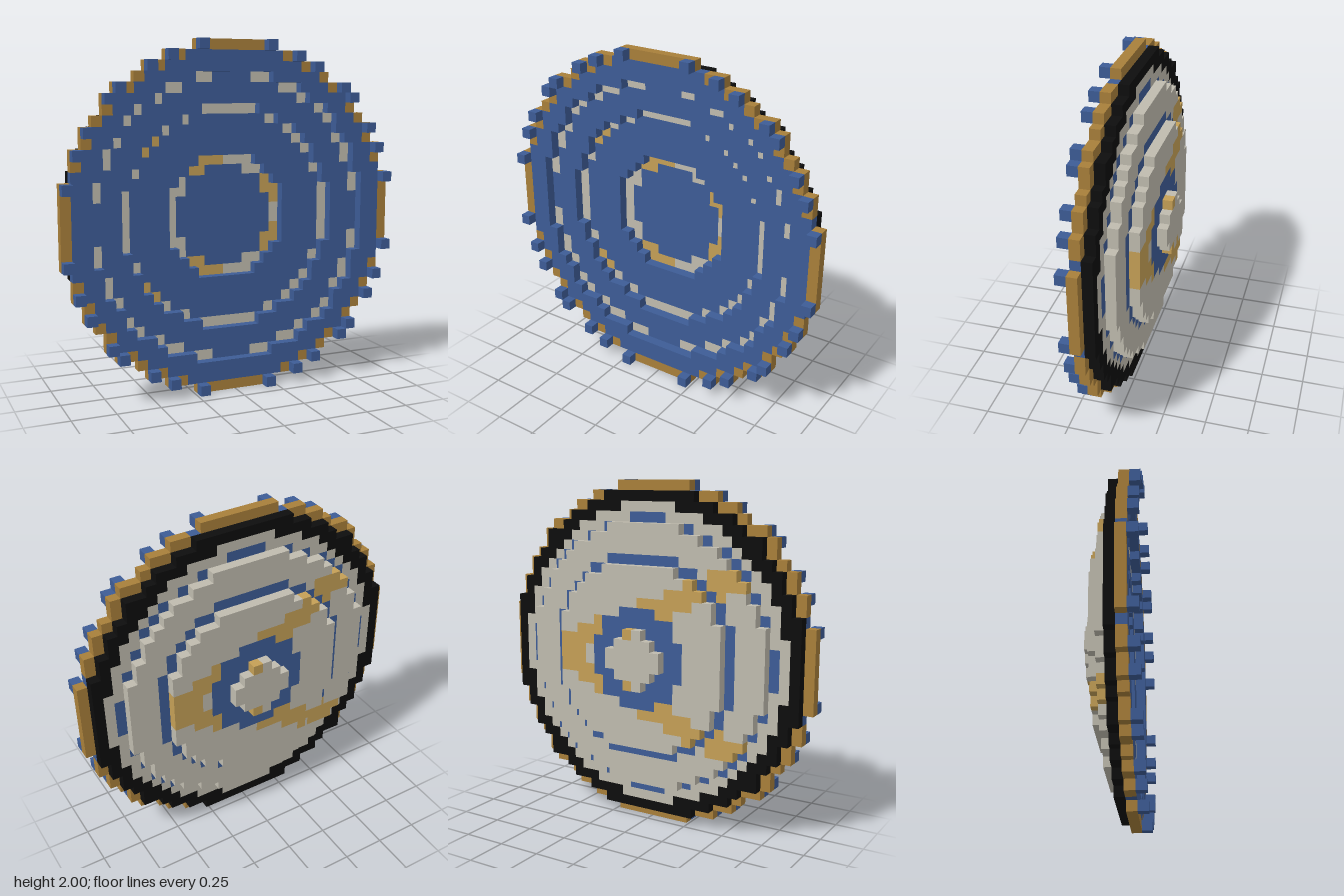
import * as THREE from 'three';
import { mergeGeometries } from 'three/addons/utils/BufferGeometryUtils.js';

const N = 17;          // cells from the centre to the rim
const S = 1 / N;       // cell size

const mat = (name, color) => {
  const m = new THREE.MeshStandardMaterial({ color });
  m.name = name;
  return m;
};

// Slanted stain bands that meet at +x and spread towards -x, on the three rear layers
function stained(x, y, layer) {
  if (layer > 2 || (layer === 2 && x > 0)) return false;
  const d = Math.abs(y) + 0.42 * x;
  return d > (layer === 0 ? 2.65 : 2.85) && d < 5.4;
}

// Blocky ring of one layer: every cell whose centre lies between two radii,
// joined into one box per run of cells along x
function ringGeometry(layer, inner, outer, keep = () => true) {
  const boxes = [];
  for (let j = -N; j < N; j++) {
    const y = j + 0.5;
    let start = null;
    for (let i = -N; i <= N; i++) {
      const x = i + 0.5;
      const r = Math.hypot(x, y);
      const filled = i < N && r >= inner && r < outer && keep(x, y, layer);
      if (filled && start === null) start = i;
      if (!filled && start !== null) {
        const box = new THREE.BoxGeometry((i - start) * S, S, S);
        box.translate((start + i) / 2 * S, y * S + 1, (layer - 2.5) * S);
        boxes.push(box);
        start = null;
      }
    }
  }
  return mergeGeometries(boxes);
}

export function createModel() {
  const blue = mat('blue lining', 0x3d5c96);
  const grey = mat('pale grey shell', 0xbfbbae);
  const tan = mat('tan stain', 0xc49f56);
  const brown = mat('brown rim', 0xa87f3a);
  const black = mat('black band', 0x0d0d0d);

  const clean = (x, y, l) => !stained(x, y, l);

  // name, layer from the back, inner and outer radius in cells, material, filter
  const parts = [
    ['boss', 0, 0, 2.6, grey, clean],
    ['bossStain', 0, 0, 2.6, tan, stained],
    ['centreLining', 1, 0, 5, blue],
    ['innerShell', 1, 5, 9.5, grey, clean],
    ['innerShellStain', 1, 5, 9.5, tan, stained],
    ['innerLining', 2, 6.2, 10.3, blue],
    ['middleShell', 2, 10.3, 13, grey, clean],
    ['middleShellStain', 2, 10.3, 13, tan, stained],
    ['middleLining', 3, 10.9, 13.6, blue],
    ['outerShell', 3, 13.6, 14.8, grey],
    ['blackBand', 3, 14.8, 16.3, black],
    ['outerLining', 4, 14.2, 16.3, blue],
    ['rim', 4, 16.3, 17, brown],
    ['rimStuds', 5, 16.75, 17, blue],
  ];

  const group = new THREE.Group();
  group.name = 'roundShield';
  for (const [name, layer, inner, outer, material, keep] of parts) {
    const mesh = new THREE.Mesh(ringGeometry(layer, inner, outer, keep), material);
    mesh.name = name;
    group.add(mesh);
  }
  return group;
}
